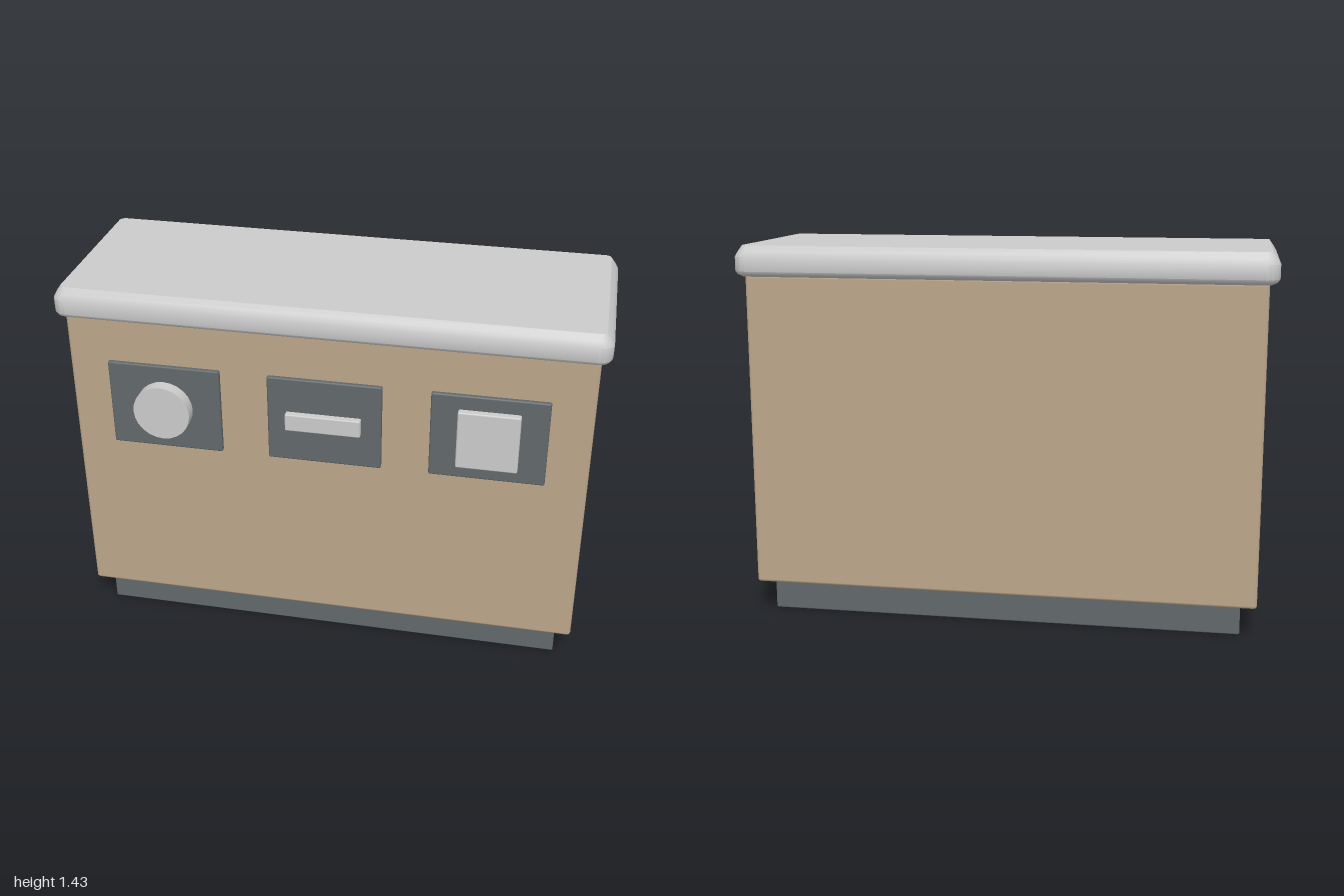
import * as THREE from 'three';
import { RoundedBoxGeometry } from 'three/addons/geometries/RoundedBoxGeometry.js';
import { toCreasedNormals } from 'three/addons/utils/BufferGeometryUtils.js';

const grey = new THREE.MeshStandardMaterial({ color: 0xcccccc });
const tan = new THREE.MeshStandardMaterial({ color: 0xbca68b });
const dark = new THREE.MeshStandardMaterial({ color: 0x62686a });

// Box with chamfered edges, given by its extents on each axis
function chamferBox(name, material, [x0, x1], [y0, y1], [z0, z1], bevel) {
  const mesh = new THREE.Mesh(new RoundedBoxGeometry(x1 - x0, y1 - y0, z1 - z0, 1, bevel), material);
  mesh.position.set((x0 + x1) / 2, (y0 + y1) / 2, (z0 + z1) / 2);
  mesh.name = name;
  return mesh;
}

// Slab with rounded plan corners; profile lists [inset, y] from bottom to top
function slabGeometry(width, depth, radius, profile, cornerSteps) {
  const positions = [], index = [];
  const count = 4 * (cornerSteps + 1);
  for (const [inset, y] of profile) {
    for (let c = 0; c < 4; c++) {
      const sx = c === 0 || c === 3 ? 1 : -1;
      const sz = c < 2 ? 1 : -1;
      for (let s = 0; s <= cornerSteps; s++) {
        const a = (c + s / cornerSteps) * Math.PI / 2;
        const r = radius - inset;
        positions.push(sx * (width / 2 - radius) + r * Math.cos(a), y,
          sz * (depth / 2 - radius) + r * Math.sin(a));
      }
    }
  }
  for (let k = 0; k < profile.length - 1; k++) {
    for (let i = 0; i < count; i++) {
      const a = k * count + i, b = k * count + (i + 1) % count;
      index.push(a, a + count, b, b, a + count, b + count);
    }
  }
  // Bottom and top caps
  const top = (profile.length - 1) * count;
  for (let i = 1; i < count - 1; i++) {
    index.push(0, i, i + 1, top, top + i + 1, top + i);
  }
  const geometry = new THREE.BufferGeometry();
  geometry.setAttribute('position', new THREE.Float32BufferAttribute(positions, 3));
  geometry.setIndex(index);
  return toCreasedNormals(geometry, 0.6);
}

export function createModel() {
  const model = new THREE.Group();
  model.name = 'counter';

  // Recessed plinth and cabinet body
  model.add(chamferBox('plinth', dark, [-0.905, 0.905], [0, 0.125], [-0.295, 0.273], 0.006));
  model.add(chamferBox('body', tan, [-0.965, 0.965], [0.117, 1.32], [-0.337, 0.314], 0.012));

  // Worktop with bevelled rim
  const profile = [[0.028, 1.314], [0.008, 1.323], [0, 1.335], [0, 1.388], [0.012, 1.408], [0.028, 1.43]];
  const worktop = new THREE.Mesh(slabGeometry(2, 0.727, 0.05, profile, 4), grey);
  worktop.position.z = -0.0115;
  worktop.name = 'worktop';
  model.add(worktop);

  // Three front panels
  for (const [x, name] of [[-0.602, 'dialPanel'], [0, 'slotPanel'], [0.6, 'buttonPanel']]) {
    model.add(chamferBox(name, dark, [x - 0.212, x + 0.212], [0.805, 1.145], [0.3, 0.33], 0.006));
  }

  // Round dial
  const dial = new THREE.Mesh(new THREE.CylinderGeometry(0.107, 0.107, 0.06, 24), grey);
  dial.rotation.x = Math.PI / 2;
  dial.position.set(-0.604, 0.975, 0.348);
  dial.name = 'dial';
  model.add(dial);

  // Slot bar and square button
  model.add(chamferBox('slotBar', grey, [-0.142, 0.138], [0.942, 1.01], [0.318, 0.355], 0.005));
  model.add(chamferBox('squareButton', grey, [0.487, 0.712], [0.86, 1.09], [0.318, 0.355], 0.006));

  return model;
}
